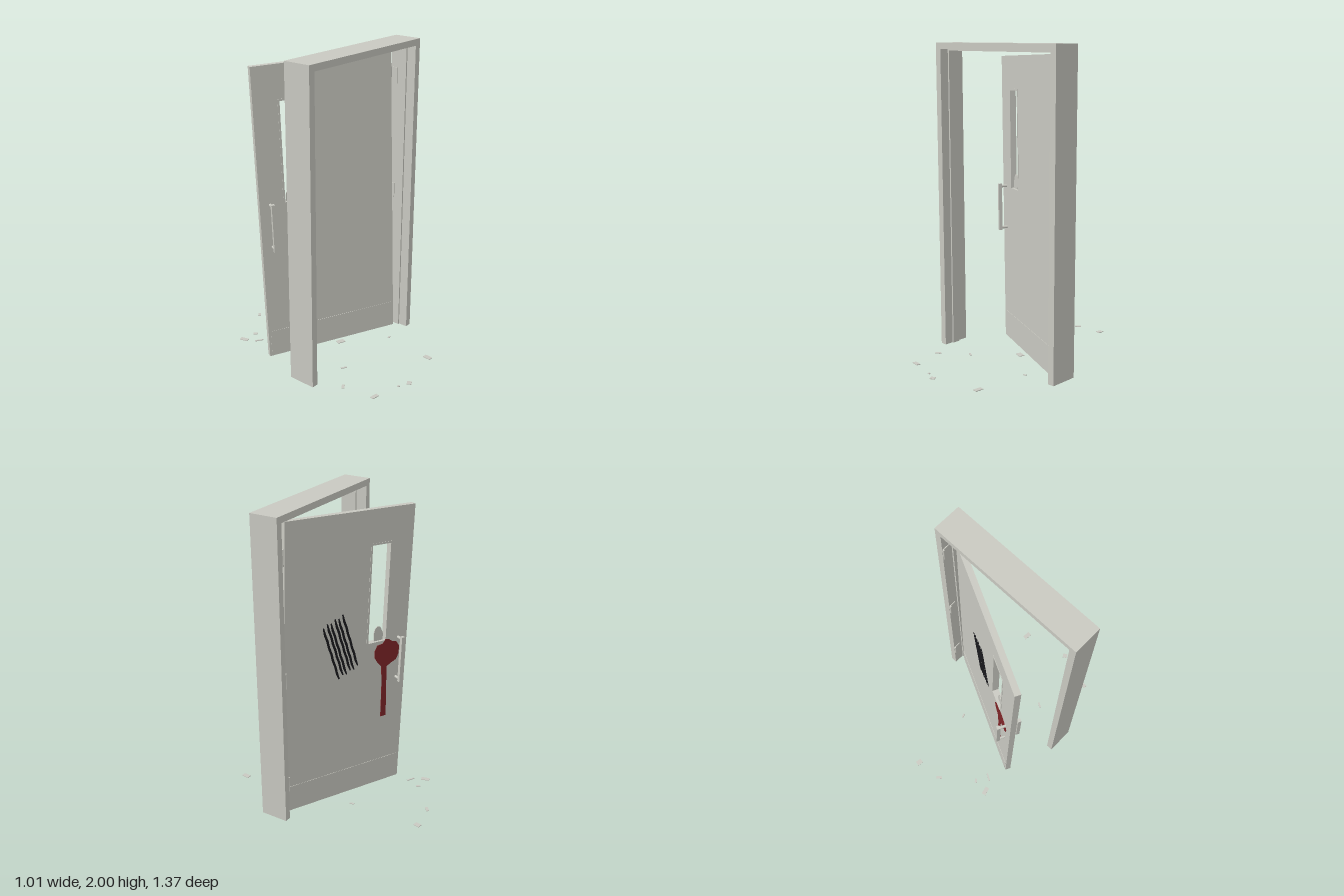
import * as THREE from 'three';

const paint = new THREE.MeshStandardMaterial({ color: 0xc9c9c1 });
paint.name = 'pale grey paint';
const red = new THREE.MeshStandardMaterial({ color: 0x7f2528 });
red.name = 'dark red stain';
const black = new THREE.MeshStandardMaterial({ color: 0x1a1a1e });
black.name = 'black scratch';

function add(parent, name, geometry, material, x = 0, y = 0, z = 0) {
  const mesh = new THREE.Mesh(geometry, material);
  mesh.name = name;
  mesh.position.set(x, y, z);
  parent.add(mesh);
  return mesh;
}

const box = (w, h, d) => new THREE.BoxGeometry(w, h, d);
const toPoints = (list) => list.map(([x, y]) => new THREE.Vector2(x, y));
const rect = (x0, y0, x1, y1) => toPoints([[x0, y0], [x1, y0], [x1, y1], [x0, y1]]);

// Flat outline with optional hole, extruded and centred on z = 0
function plate(outline, depth, hole) {
  const shape = new THREE.Shape(outline);
  if (hole) shape.holes.push(new THREE.Path(hole));
  const geometry = new THREE.ExtrudeGeometry(shape, { depth, bevelEnabled: false });
  return geometry.translate(0, 0, -depth / 2);
}

function makeFrame() {
  const frame = new THREE.Group();
  frame.name = 'doorFrame';

  // Upside-down U outline for the casing and the thin stop inside it
  const arch = (outer, top, inner, innerTop) => toPoints([
    [-outer, 0.03], [-outer, top], [outer, top], [outer, 0.03],
    [inner, 0.03], [inner, innerTop], [-inner, innerTop], [-inner, 0.03],
  ]);
  add(frame, 'casing', plate(arch(0.505, 2, 0.463, 1.96), 0.18), paint, 0, 0, 0.15);
  add(frame, 'doorStop', plate(arch(0.464, 1.961, 0.453, 1.95), 0.05), paint, 0, 0, 0.155);

  // Hinges on the jamb
  for (const y of [0.28, 1.0, 1.76]) {
    add(frame, 'hingeLeaf', box(0.006, 0.1, 0.045), paint, 0.461, y, 0.087);
    add(frame, 'hingePin', new THREE.CylinderGeometry(0.006, 0.006, 0.1, 10), paint, 0.456, y, 0.064);
  }
  return frame;
}

function makeHandle(side) {
  const handle = new THREE.Group();
  handle.name = 'pullHandle';
  add(handle, 'grip', box(0.022, 0.315, 0.022), paint, 0, 0, side * 0.066);
  for (const y of [-0.14, 0.14]) {
    const post = add(handle, 'handlePost', new THREE.CylinderGeometry(0.009, 0.009, 0.05, 12), paint, 0, y, side * 0.036);
    post.rotation.x = Math.PI / 2;
  }
  handle.position.set(-0.382, -0.042, 0);
  return handle;
}

function makeDoor() {
  const door = new THREE.Group();
  door.name = 'door';
  const half = 0.018;

  // Leaf with a narrow window opening, and the trim lining it
  const opening = rect(-0.295, 0.086, -0.14, 0.745);
  add(door, 'leaf', plate(rect(-0.45, -0.955, 0.45, 0.955), half * 2, opening), paint);
  add(door, 'windowTrim', plate(rect(-0.296, 0.085, -0.139, 0.746), 0.04, rect(-0.284, 0.097, -0.151, 0.734)), paint);

  // Broken pane left in the bottom of the window
  const shard = toPoints([[-0.272, 0.095], [-0.205, 0.095], [-0.203, 0.15], [-0.212, 0.18],
    [-0.23, 0.194], [-0.25, 0.188], [-0.262, 0.165], [-0.273, 0.14]]);
  add(door, 'glassShard', plate(shard, 0.006), paint);

  for (const side of [-1, 1]) {
    add(door, 'kickPlate', box(0.87, 0.175, 0.003), paint, 0, -0.862, side * (half + 0.001));
    door.add(makeHandle(side));
  }

  // Splash and drip on the back
  const splash = toPoints([[-0.285, 0.105], [-0.262, 0.075], [-0.222, 0.07], [-0.205, 0.035],
    [-0.208, -0.015], [-0.235, -0.055], [-0.262, -0.085], [-0.272, -0.2], [-0.277, -0.45],
    [-0.318, -0.45], [-0.315, -0.34], [-0.308, -0.2], [-0.304, -0.09], [-0.34, -0.07],
    [-0.375, -0.055], [-0.392, -0.02], [-0.395, 0.035], [-0.37, 0.07], [-0.335, 0.08], [-0.31, 0.098]]);
  add(door, 'stain', plate(splash, 0.003), red, 0, 0, -half - 0.0015);

  // Row of slanted claw marks with ragged edges on the back
  const count = 6;
  for (let i = 0; i < count; i++) {
    const t = i / (count - 1);
    const rightEdge = [], leftEdge = [];
    for (let k = 0; k <= 8; k++) {
      const y = -0.193 + k * 0.04825;
      const wobble = k % 2 ? 0.0015 : -0.0015;
      const w = k === 0 || k === 8 ? 0.004 : 0.0075;
      rightEdge.push([w + wobble, y]);
      leftEdge.unshift([-w + wobble, y]);
    }
    const mark = add(door, 'scratch', plate(toPoints([...rightEdge, ...leftEdge]), 0.003), black,
      0.122 - t * 0.135, 0.09 + t * 0.052 + (i % 2 ? 0.008 : -0.004), -half - 0.0015);
    mark.rotation.z = -0.33;
  }

  // Swung open, sagging from its hinges
  door.rotation.set(0, THREE.MathUtils.degToRad(-26), THREE.MathUtils.degToRad(2));
  door.position.set(0, 0.971, -0.072);
  return door;
}

function makeDebris() {
  const debris = new THREE.Group();
  debris.name = 'debris';
  // x, z, width, depth, turn in degrees
  const chips = [
    [0.11, -0.665, 0.032, 0.04, -10], [-0.07, -0.645, 0.04, 0.018, 40],
    [-0.375, -0.485, 0.028, 0.055, 15], [-0.275, -0.48, 0.015, 0.028, 40],
    [-0.32, -0.4, 0.055, 0.01, -30], [0.128, -0.2, 0.012, 0.03, 20],
    [0.018, 0.025, 0.052, 0.035, -20], [-0.215, 0.245, 0.04, 0.012, -30],
    [0.27, 0.238, 0.02, 0.01, 10], [-0.38, 0.375, 0.04, 0.018, 35],
    [-0.34, 0.585, 0.05, 0.025, -8], [-0.16, 0.63, 0.015, 0.012, -10],
    [-0.09, 0.66, 0.032, 0.03, 30], [0.225, 0.58, 0.03, 0.052, -5],
  ];
  for (const [x, z, w, d, turn] of chips) {
    const chip = add(debris, 'chip', box(w, 0.004, d), paint, x, 0.031, z);
    chip.rotation.y = THREE.MathUtils.degToRad(turn);
  }
  return debris;
}

export function createModel() {
  const model = new THREE.Group();
  model.name = 'damagedDoor';
  model.add(makeFrame(), makeDoor(), makeDebris());
  return model;
}
